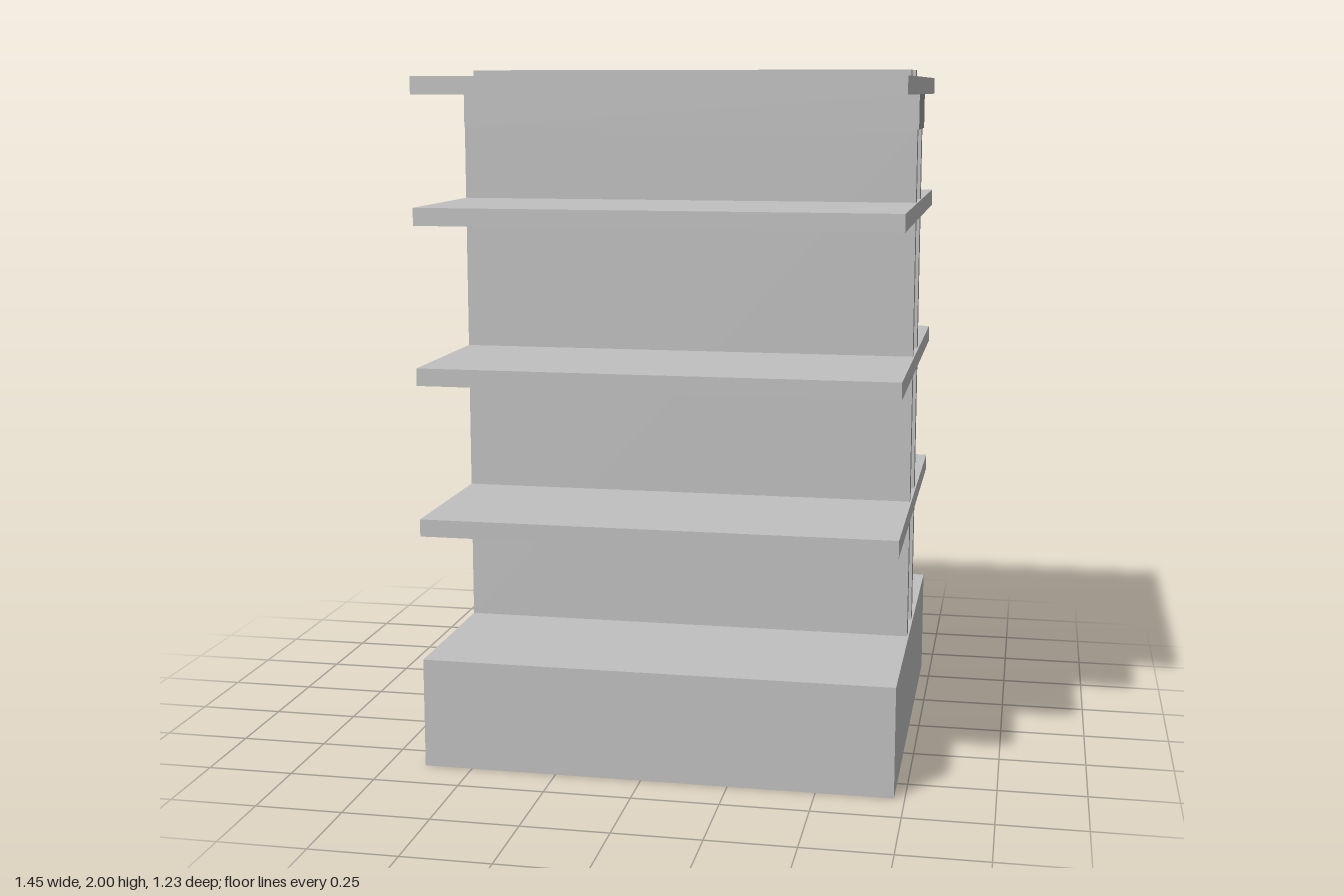
import * as THREE from 'three';

const paleGrey = new THREE.MeshStandardMaterial({ color: 0xc0c0c0, side: THREE.DoubleSide });
paleGrey.name = 'pale grey';
const edgeGrey = new THREE.MeshStandardMaterial({ color: 0x9a9a9a });
edgeGrey.name = 'edge grey';

// Faces in box order: +x -x +y -y +z -z; boards have darker cut edges
const boardMaterials = [edgeGrey, edgeGrey, edgeGrey, edgeGrey, paleGrey, paleGrey];

function block(parent, name, [x0, x1], [y0, y1], [z0, z1], material = paleGrey) {
  const mesh = new THREE.Mesh(new THREE.BoxGeometry(x1 - x0, y1 - y0, z1 - z0), material);
  mesh.position.set((x0 + x1) / 2, (y0 + y1) / 2, (z0 + z1) / 2);
  mesh.name = name;
  parent.add(mesh);
}

// Pointed oval blade swept along an arched spine, folded lightly along its midrib
function leaf(parent, base, tip, width, arch, facing = [0, 1, 0]) {
  const a = new THREE.Vector3(...base), b = new THREE.Vector3(...tip);
  const middle = a.clone().lerp(b, 0.5).add(new THREE.Vector3(0, arch, 0));
  const spine = new THREE.QuadraticBezierCurve3(a, middle, b);
  const across = b.clone().sub(a).cross(new THREE.Vector3(...facing)).normalize();
  const normal = across.clone().cross(b.clone().sub(a)).normalize();
  const steps = 8, positions = [], index = [];
  for (let i = 0; i <= steps; i++) {
    const t = i / steps, half = width / 2 * Math.sin(Math.PI * Math.pow(t, 0.85));
    for (const s of [-1, 0, 1]) {
      const p = spine.getPoint(t).addScaledVector(across, s * half)
        .addScaledVector(normal, Math.abs(s) * half * 0.2);
      positions.push(p.x, p.y, p.z);
    }
    if (i < steps) for (let j = 0; j < 2; j++) {
      const k = i * 3 + j;
      index.push(k, k + 1, k + 3, k + 1, k + 4, k + 3);
    }
  }
  const geometry = new THREE.BufferGeometry();
  geometry.setAttribute('position', new THREE.Float32BufferAttribute(positions, 3));
  geometry.setIndex(index);
  geometry.computeVertexNormals();
  const mesh = new THREE.Mesh(geometry, paleGrey);
  mesh.name = 'leaf';
  parent.add(mesh);
}

function stem(parent, height) {
  const mesh = new THREE.Mesh(new THREE.CylinderGeometry(0.005, 0.007, height, 8), paleGrey);
  mesh.position.y = height / 2;
  mesh.name = 'stem';
  parent.add(mesh);
}

function plant(name, x, y, z) {
  const group = new THREE.Group();
  group.name = name;
  group.position.set(x, y, z);
  return group;
}

// Square tapered pot with a fan of slender leaves
function pottedPlant(x, y) {
  const g = plant('pottedPlant', x, y, -0.405);
  const profile = [[0, 0], [0.07, 0], [0.09, 0.16], [0.078, 0.16], [0.075, 0.135], [0, 0.135]]
    .map(([r, h]) => new THREE.Vector2(r * Math.SQRT2, h));
  const geometry = new THREE.LatheGeometry(profile, 4, Math.PI / 4).toNonIndexed();
  geometry.computeVertexNormals();
  const pot = new THREE.Mesh(geometry, paleGrey);
  pot.name = 'pot';
  g.add(pot);
  const tips = [[-0.185, 0.372, 0.04], [0.03, 0.365, 0.05], [0.02, 0.335, 0.15],
    [0.06, 0.355, -0.15], [-0.03, 0.26, -0.13], [-0.1, 0.3, -0.07],
    [0.13, 0.3, 0.03], [0.1, 0.26, -0.06], [-0.09, 0.3, 0.09]];
  for (const [tx, ty, tz] of tips)
    leaf(g, [tx * 0.12, 0.13, tz * 0.12], [tx, ty, tz], 0.055, 0.03, [-tx, 0.15, -tz]);
  return g;
}

// Tall plant with broad leaves
function broadPlant(x, y) {
  const g = plant('broadLeafPlant', x, y, -0.44);
  stem(g, 0.2);
  leaf(g, [0, 0.16, 0], [0.17, 0.275, -0.17], 0.11, 0.0);
  leaf(g, [0, 0.18, 0], [-0.235, 0.31, -0.02], 0.13, 0.0);
  leaf(g, [0, 0.09, 0], [-0.215, 0.26, 0.035], 0.12, -0.05);
  leaf(g, [0, 0.1, 0], [0.06, 0.32, -0.02], 0.12, 0.02, [-0.6, 0.2, -0.6]);
  leaf(g, [0, 0.1, 0], [0.11, 0.25, 0.06], 0.1, 0.0);
  return g;
}

// Small sprig with spreading leaves
function sprig(x, y) {
  const g = plant('sprig', x, y, -0.375);
  stem(g, 0.2);
  leaf(g, [0, 0.16, 0], [0.16, 0.19, -0.07], 0.07, 0.02);
  leaf(g, [0, 0.18, 0], [-0.07, 0.21, 0.125], 0.075, 0.02, [-0.5, 1, 0]);
  leaf(g, [0, 0.05, 0], [-0.02, 0.1, -0.17], 0.07, 0.0);
  leaf(g, [0, 0.03, 0], [0.03, 0.08, 0.11], 0.06, 0.0);
  leaf(g, [0, 0.12, 0], [-0.13, 0.19, -0.03], 0.07, 0.02);
  return g;
}

export function createModel() {
  const model = new THREE.Group();
  model.name = 'displayShelf';
  const X = [-0.64, 0.72], Z = [-0.615, 0.615];

  // Plinth and three middle shelves
  block(model, 'plinth', X, [0, 0.32], Z);
  for (const y of [0.685, 1.12, 1.57]) block(model, 'shelf', X, [y, y + 0.05], Z);

  // Top shelf with a long slot for the panel tops
  block(model, 'topShelfFront', X, [1.93, 1.98], [0.12, 0.615]);
  block(model, 'topShelfBack', X, [1.93, 1.98], [-0.615, -0.11]);
  block(model, 'topShelfEnd', [-0.64, -0.61], [1.93, 1.98], [-0.11, 0.12]);
  block(model, 'topShelfEnd', [0.695, 0.72], [1.93, 1.98], [-0.11, 0.12]);

  // Core wall between two facing boards, with a header above
  block(model, 'core', [-0.63, 0.705], [0.32, 1.83], [-0.065, 0.08]);
  block(model, 'header', [-0.64, 0.72], [1.83, 1.93], [-0.11, 0.125], boardMaterials);
  for (const z of [[-0.108, -0.065], [0.08, 0.12]]) {
    block(model, 'board', [-0.64, 0.715], [0.32, 1.83], z, boardMaterials);
    block(model, 'boardTop', [-0.61, 0.695], [1.93, 2], z, boardMaterials);
  }
  block(model, 'slotFloor', [-0.61, 0.695], [1.93, 1.934], [-0.065, 0.08]);

  // Plants along the back
  model.add(
    sprig(0.42, 0.32), pottedPlant(0.03, 0.32), sprig(-0.43, 0.32),
    sprig(0.35, 0.77), broadPlant(-0.16, 0.785),
    broadPlant(0.285, 1.2), sprig(-0.1, 1.18), pottedPlant(-0.44, 1.2),
    sprig(0.51, 1.62), pottedPlant(0.02, 1.612), broadPlant(-0.49, 1.63),
  );
  return model;
}
